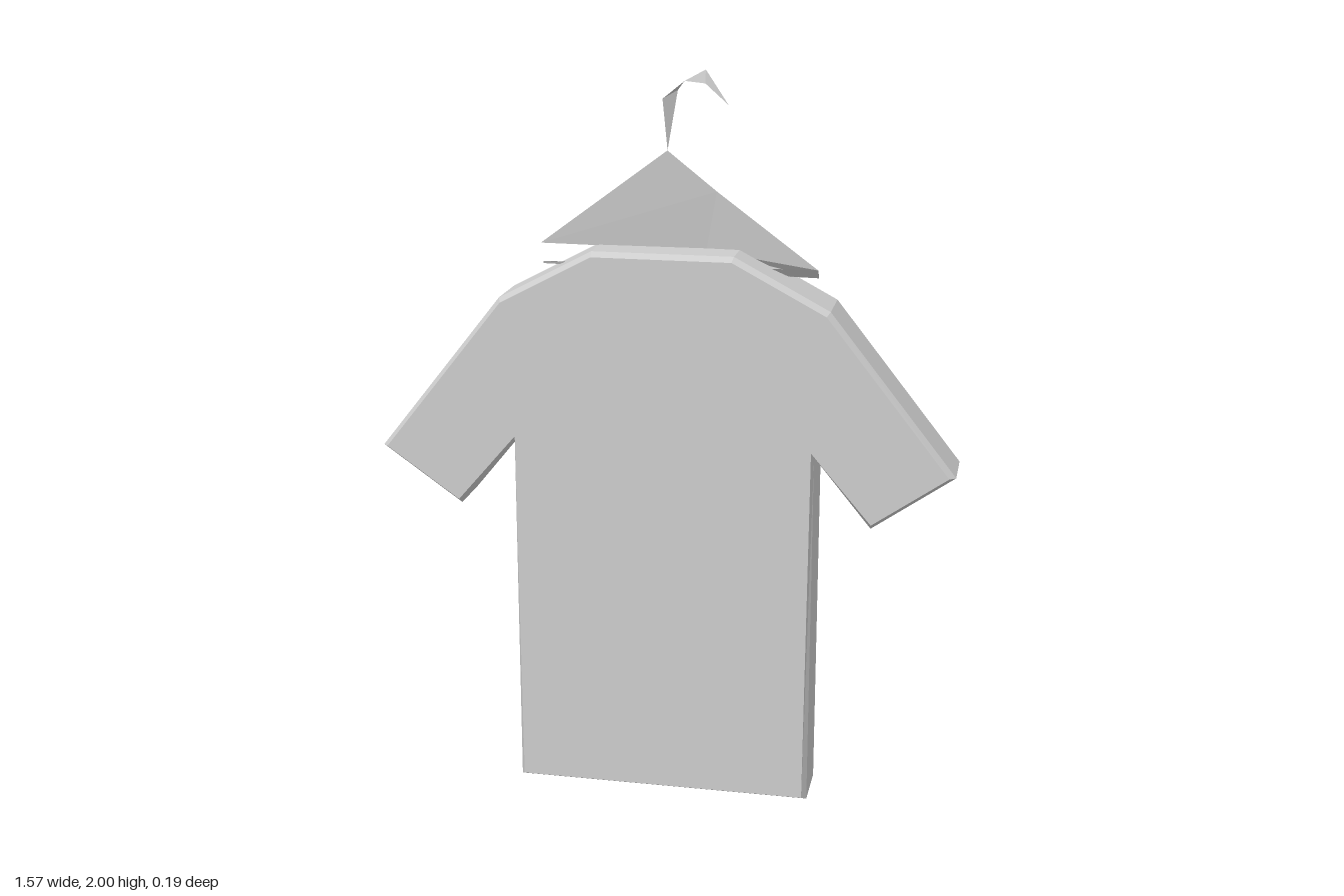
import * as THREE from 'three';

const grey = new THREE.MeshStandardMaterial({ color: 0xcccccc, side: THREE.DoubleSide });
grey.name = 'plain grey';

// Thin folded sheet: corner points and the triangles joining them
function sheet(name, points, faces) {
  const geometry = new THREE.BufferGeometry();
  const positions = faces.flatMap(face => face.flatMap(i => points[i]));
  geometry.setAttribute('position', new THREE.Float32BufferAttribute(positions, 3));
  geometry.computeVertexNormals();
  const mesh = new THREE.Mesh(geometry, grey);
  mesh.name = name;
  return mesh;
}

// T-shirt slab: half outline mirrored, with a narrow chamfer front and back
function makeShirt() {
  const half = [[0.41, 0], [0.41, 1.0], [0.565, 0.81], [0.785, 0.965], [0.445, 1.395], [0.19, 1.53]];
  const outline = [...half, ...half.map(([x, y]) => [-x, y]).reverse()];
  const shape = new THREE.Shape(outline.map(([x, y]) => new THREE.Vector2(x, y)));
  const geometry = new THREE.ExtrudeGeometry(shape, {
    depth: 0.15, bevelEnabled: true, bevelThickness: 0.022,
    bevelSize: 0.012, bevelOffset: -0.012, bevelSegments: 1
  });
  geometry.translate(0, 0, -0.075);
  const mesh = new THREE.Mesh(geometry, grey);
  mesh.name = 'shirt';
  return mesh;
}

export function createModel() {
  const model = new THREE.Group();
  model.name = 'shirtOnHanger';
  model.add(makeShirt());

  // Hanger shoulders: a triangle folded along a slanting crease
  model.add(sheet('hangerShoulders', [
    [0, 1.79, 0.005], [-0.35, 1.53, -0.012], [0.13, 1.685, -0.005],
    [0.4, 1.485, -0.01], [0.4, 1.46, -0.03], [0.1, 1.525, -0.022]
  ], [[0, 1, 2], [1, 5, 2], [2, 5, 3], [5, 4, 3]]));

  // Lower bar, mostly inside the shirt
  model.add(sheet('hangerBar', [
    [-0.345, 1.48, -0.015], [0.4, 1.46, -0.03], [0.4, 1.485, -0.01], [-0.345, 1.473, -0.018]
  ], [[0, 3, 1], [0, 1, 2]]));

  // Hook: a twisted strip rising from the apex and curling over to +x
  model.add(sheet('hangerHook', [
    [0, 1.79, 0.003], [-0.01, 1.925, 0.02], [0.025, 1.945, -0.008],
    [0.045, 1.97, 0.005], [0.1, 2.0, 0.002], [0.1, 1.965, 0.008], [0.16, 1.91, 0]
  ], [[0, 2, 1], [1, 2, 3], [3, 5, 4], [4, 5, 6]]));

  return model;
}
